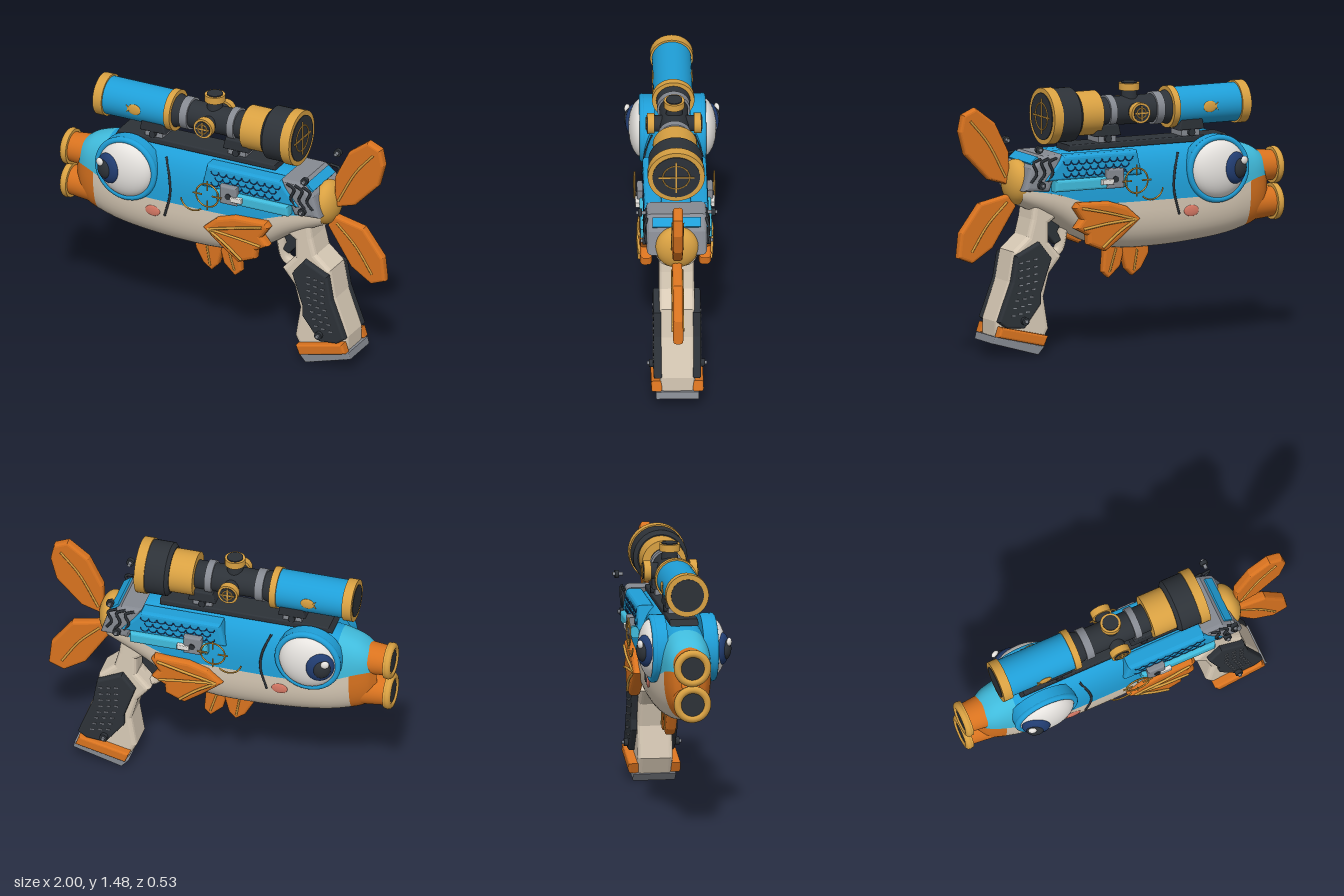
import * as THREE from 'three';

const V = (x, y, z = 0) => new THREE.Vector3(x, y, z);
const material = (name, color, side = THREE.FrontSide) => {
  const m = new THREE.MeshStandardMaterial({ color, side });
  m.name = name;
  return m;
};

// Body stations: x, top, seam, bottom, half width
const STATIONS = [
  [-0.91, 0.99, 0.9, 0.7, 0.05], [-0.87, 1.035, 0.91, 0.665, 0.095], [-0.8, 1.08, 0.9, 0.63, 0.125],
  [-0.65, 1.12, 0.85, 0.59, 0.15], [-0.45, 1.13, 0.83, 0.565, 0.165], [-0.2, 1.135, 0.83, 0.55, 0.168],
  [0.05, 1.135, 0.83, 0.56, 0.165], [0.25, 1.13, 0.84, 0.62, 0.16], [0.45, 1.11, 0.9, 0.75, 0.145],
  [0.64, 1.05, 0.93, 0.84, 0.11],
];

// Smooth interpolation of column c at x
function station(x, c) {
  const S = STATIONS;
  let i = 0;
  while (i < S.length - 2 && x > S[i + 1][0]) i++;
  const slope = (k) => {
    const a = S[Math.max(k - 1, 0)], b = S[Math.min(k + 1, S.length - 1)];
    return (b[c] - a[c]) / (b[0] - a[0]);
  };
  const h = S[i + 1][0] - S[i][0], t = (x - S[i][0]) / h, t2 = t * t, t3 = t2 * t;
  return (2 * t3 - 3 * t2 + 1) * S[i][c] + (t3 - 2 * t2 + t) * h * slope(i)
    + (3 * t2 - 2 * t3) * S[i + 1][c] + (t3 - t2) * h * slope(i + 1);
}

const POWER = 2.5;
// Half width of the body at x, y
function skinZ(x, y) {
  const seam = station(x, 2), end = station(x, y > seam ? 1 : 3);
  const t = Math.min(Math.abs((y - seam) / (end - seam)), 1);
  return station(x, 4) * (1 - t ** POWER) ** (1 / POWER);
}

// Upper (sign 1) or lower (sign -1) half shell between two x positions
function shell(x0, x1, sign) {
  const n = 24, m = 24, pos = [], idx = [];
  for (let i = 0; i <= n; i++) {
    const x = x0 + (x1 - x0) * i / n, seam = station(x, 2), h = Math.abs(station(x, sign > 0 ? 1 : 3) - seam);
    for (let j = 0; j <= m; j++) {
      const a = Math.PI * j / m, c = Math.cos(a), s = Math.max(Math.sin(a), 0);
      pos.push(x, seam + sign * h * s ** (2 / POWER), sign * station(x, 4) * Math.sign(c) * Math.abs(c) ** (2 / POWER));
      if (i < n && j < m) {
        const p = i * (m + 1) + j, q = p + m + 1;
        idx.push(p, q, p + 1, p + 1, q, q + 1);
      }
    }
  }
  const g = new THREE.BufferGeometry();
  g.setAttribute('position', new THREE.Float32BufferAttribute(pos, 3));
  g.setIndex(idx);
  g.computeVertexNormals();
  return g;
}

// Bevelled plate in the xy plane between z0 and z1
function plate(points, z0, z1, b = 0.01) {
  const shape = new THREE.Shape(points.map(([x, y]) => new THREE.Vector2(x, y)));
  return new THREE.ExtrudeGeometry(shape, {
    depth: z1 - z0 - 2 * b, bevelEnabled: true, bevelThickness: b, bevelSize: b, bevelOffset: -b, bevelSegments: 3,
  }).translate(0, 0, z0 + b);
}
const box = (x0, x1, y0, y1, z0, z1) =>
  new THREE.BoxGeometry(x1 - x0, y1 - y0, z1 - z0).translate((x0 + x1) / 2, (y0 + y1) / 2, (z0 + z1) / 2);
const cylX = (x0, x1, y, r0, r1 = r0) =>
  new THREE.CylinderGeometry(r1, r0, x1 - x0, 40).rotateZ(-Math.PI / 2).translate((x0 + x1) / 2, y, 0);
const cylZ = (x, y, z0, z1, r) =>
  new THREE.CylinderGeometry(r, r, z1 - z0, 28).rotateX(Math.PI / 2).translate(x, y, (z0 + z1) / 2);
const tube = (pts, r, closed = false) =>
  new THREE.TubeGeometry(new THREE.CatmullRomCurve3(pts.map((p) => V(...p)), closed), 24, r, 6, closed);
const ellipsoid = (x, y, z, rx, ry, rz, turn = 0) =>
  new THREE.SphereGeometry(1, 32, 24).scale(rx, ry, rz).rotateY(turn).translate(x, y, z);

function mirrorZ(geo) {
  const g = geo.clone().applyMatrix4(new THREE.Matrix4().makeScale(1, 1, -1));
  const idx = g.index ? Array.from(g.index.array) : Array.from({ length: g.attributes.position.count }, (_, i) => i);
  for (let i = 0; i < idx.length; i += 3) [idx[i], idx[i + 1]] = [idx[i + 1], idx[i]];
  g.setIndex(idx);
  return g;
}

export function createModel() {
  const group = new THREE.Group();
  group.name = 'fishBlaster';
  const blue = material('blue', 0x1f9fd8), cyan = material('lightBlue', 0x40bbdc);
  const cream = material('cream', 0xd8cab6, THREE.DoubleSide), orange = material('orange', 0xd9731f);
  const gold = material('gold', 0xd9a142), dark = material('charcoal', 0x2d3238);
  const grey = material('grey', 0x868a92), navy = material('navy', 0x213c70);
  const white = material('white', 0xe6e3df), pink = material('pink', 0xd97a66);
  const add = (name, geo, mat) => {
    const mesh = new THREE.Mesh(geo, mat);
    mesh.name = name;
    group.add(mesh);
  };
  const pair = (name, geo, mat) => {
    add(name + 'Left', geo, mat);
    add(name + 'Right', mirrorZ(geo), mat);
  };

  // Body
  add('head', shell(-0.91, -0.7, 1), cyan);
  add('back', shell(-0.7, 0.64, 1), blue);
  add('lips', shell(-0.91, -0.77, -1), orange);
  add('belly', shell(-0.77, 0.64, -1), cream);

  // Twin muzzles
  for (const y of [0.95, 0.745]) {
    add('muzzle', cylX(-0.98, -0.8, y, 0.082, 0.1), orange);
    add('muzzleRim', new THREE.TorusGeometry(0.083, 0.022, 12, 40).rotateY(Math.PI / 2).translate(-0.978, y, 0), gold);
    add('muzzleBand', cylX(-0.978, -0.957, y, 0.102), gold);
    add('muzzleBore', cylX(-0.99, -0.97, y, 0.068), dark);
  }

  // Eyes
  pair('eyeRing', cylZ(-0.545, 0.98, 0.1, 0.165, 0.19), blue);
  pair('eyeRingEdge', new THREE.TorusGeometry(0.174, 0.018, 12, 48).translate(-0.545, 0.98, 0.168), blue);
  pair('eyeball', ellipsoid(-0.545, 0.98, 0.165, 0.166, 0.166, 0.08), white);
  pair('iris', ellipsoid(-0.63, 0.985, 0.215, 0.08, 0.09, 0.038, -0.35), navy);
  pair('pupil', ellipsoid(-0.645, 0.985, 0.234, 0.05, 0.057, 0.03, -0.35), dark);
  pair('eyeGlint', ellipsoid(-0.668, 1.03, 0.25, 0.024, 0.024, 0.014, -0.35), white);

  // Cheek patch and gill line
  pair('cheek', ellipsoid(-0.38, 0.755, skinZ(-0.38, 0.755), 0.046, 0.032, 0.008), pink);
  pair('gill', tube([[-0.32, 1.08], [-0.28, 0.98], [-0.27, 0.88], [-0.305, 0.74]]
    .map(([x, y]) => [x, y, skinZ(x, y) + 0.002]), 0.007), dark);

  // Scaled side cover, slider and bolt
  pair('sideCover', plate([[-0.07, 0.98], [-0.04, 1.12], [0.42, 1.12], [0.54, 0.98]], 0.08, 0.178, 0.02), blue);
  for (let row = 0; row < 3; row++) {
    for (let i = 0; i < 9 - row % 2; i++) {
      const arc = new THREE.TorusGeometry(0.024, 0.003, 4, 10, Math.PI).rotateZ(Math.PI);
      pair('scale', arc.translate(0.015 + i * 0.048 + (row % 2) * 0.024, 1.09 - row * 0.034, 0.178), navy);
    }
  }
  pair('slider', plate([[0.03, 0.92], [0.03, 0.985], [0.48, 0.985], [0.48, 0.92]], 0.13, 0.2, 0.014), cyan);
  pair('bolt', plate([[0.06, 0.92], [0.06, 1.03], [0.165, 1.03], [0.165, 0.92]], 0.15, 0.212), grey);
  pair('boltPin', cylZ(0.115, 0.972, 0.2, 0.218, 0.018), dark);
  pair('boltTab', plate([[0.13, 0.945], [0.13, 0.975], [0.2, 0.975], [0.2, 0.945]], 0.19, 0.222, 0.004), white);

  // Brass sight ornament beside the bolt
  pair('ornamentRing', new THREE.TorusGeometry(0.07, 0.005, 6, 32).translate(-0.01, 0.957, 0.222), gold);
  pair('ornamentArc', new THREE.TorusGeometry(0.075, 0.005, 6, 20, 2.2).rotateZ(3.3).translate(-0.1, 0.92, 0.222), gold);
  for (let i = 0; i < 4; i++) {
    const a = i * Math.PI / 2, c = Math.cos(a), s = Math.sin(a);
    pair('ornamentTick', tube([[-0.01 + 0.03 * c, 0.957 + 0.03 * s, 0.222], [-0.01 + 0.09 * c, 0.957 + 0.09 * s, 0.222]], 0.005), gold);
  }

  // Rear housing and tail joint
  add('rearHousing', plate([[0.42, 1.125], [0.54, 1.125], [0.62, 1.06], [0.66, 0.93], [0.5, 0.92]], -0.168, 0.168, 0.025), grey);
  add('rearStripe', box(-0.028, 0.028, -0.012, 0.012, -0.135, 0.135).rotateZ(-0.68).translate(0.58, 1.093, 0), blue);
  for (let i = 0; i < 3; i++) {
    const x = 0.46 + i * 0.05;
    pair('housingCoil', tube([[x, 1.11, 0.166], [x + 0.05, 1.09, 0.178], [x + 0.03, 1.03, 0.178], [x + 0.06, 0.98, 0.168]], 0.008), dark);
  }
  add('tailJoint', ellipsoid(0.63, 0.965, 0, 0.075, 0.128, 0.122), gold);
  for (const [x, y, z] of [[0.56, 0.962, 0.19], [0.59, 1.17, 0.215], [0.645, 0.2, 0.155]]) {
    pair('screwHead', cylZ(x, y, z - 0.022, z, 0.022), dark);
    pair('screwShank', cylZ(x, y, z - 0.045, z + 0.012, 0.01), grey);
  }

  // Tail fins
  add('upperTailFin', plate([[0.68, 0.95], [0.685, 1.14], [0.77, 1.31], [0.89, 1.4], [0.97, 1.365], [0.99, 1.27], [0.955, 1.14], [0.81, 0.99]], -0.028, 0.028, 0.016), orange);
  add('lowerTailFin', plate([[0.64, 0.83], [0.68, 0.9], [0.865, 0.86], [0.985, 0.7], [1.0, 0.56], [0.91, 0.525], [0.785, 0.605]], -0.028, 0.028, 0.016), orange);
  pair('upperTailRib', tube([[0.71, 1.0, 0.028], [0.82, 1.2, 0.028], [0.93, 1.33, 0.028]], 0.007), gold);
  pair('lowerTailRib', tube([[0.7, 0.86, 0.028], [0.82, 0.74, 0.028], [0.92, 0.59, 0.028]], 0.007), gold);

  // Side and belly fins
  pair('sideFin', plate([[-0.055, 0.735], [0.03, 0.81], [0.14, 0.845], [0.34, 0.85], [0.36, 0.82], [0.315, 0.755], [0.355, 0.705],
    [0.28, 0.665], [0.275, 0.61], [0.165, 0.565], [0.06, 0.64]], 0.13, 0.198, 0.022), orange);
  for (const [x, y] of [[0.32, 0.82], [0.31, 0.7], [0.19, 0.59]]) {
    pair('sideFinRib', tube([[-0.02, 0.735, 0.195], [x * 0.5, (y + 0.75) / 2, 0.207], [x, y, 0.2]], 0.008), gold);
  }
  add('frontBellyFin', plate([[-0.19, 0.6], [-0.185, 0.51], [-0.14, 0.43], [-0.085, 0.39], [-0.045, 0.43], [0.0, 0.6]], -0.03, 0.03, 0.015), orange);
  add('rearBellyFin', plate([[-0.05, 0.6], [-0.01, 0.45], [0.06, 0.385], [0.1, 0.42], [0.085, 0.6]], -0.026, 0.026, 0.013), orange);
  pair('frontBellyRib', tube([[-0.11, 0.54, 0.03], [-0.09, 0.42, 0.03]], 0.006), gold);
  pair('rearBellyRib', tube([[0.02, 0.55, 0.026], [0.06, 0.42, 0.026]], 0.006), gold);

  // Grip
  add('grip', plate([[0.32, 0.83], [0.56, 0.87], [0.575, 0.76], [0.6, 0.665], [0.69, 0.585], [0.72, 0.42], [0.8, 0.2], [0.8, 0.115],
    [0.52, 0.045], [0.47, 0.14], [0.5, 0.32], [0.465, 0.45], [0.39, 0.54], [0.47, 0.63], [0.47, 0.73]], -0.098, 0.098, 0.025), cream);
  pair('gripPanel', plate([[0.545, 0.635], [0.69, 0.565], [0.715, 0.42], [0.8, 0.2], [0.75, 0.165], [0.64, 0.155], [0.535, 0.29],
    [0.535, 0.35], [0.47, 0.54]], 0.085, 0.132, 0.012), dark);
  for (let row = 0; row < 8; row++) {
    for (let i = 0; i < 3; i++) {
      const x = 0.565 + i * 0.045 + Math.max(0, row - 3) * 0.012, y = 0.54 - row * 0.042 - i * 0.008;
      pair('gripStud', box(x, x + 0.022, y, y + 0.006, 0.128, 0.136), grey);
    }
  }
  pair('heelPad', plate([[0.5, 0.107], [0.79, 0.175], [0.81, 0.118], [0.524, 0.05]], 0.085, 0.146, 0.012), orange);
  add('basePlate', plate([[0.51, 0.045], [0.82, 0.12], [0.83, 0.08], [0.55, 0.0]], -0.12, 0.12, 0.006), grey);

  // Trigger and guard
  add('triggerGuard', tube([[0.33, 0.79, 0], [0.34, 0.68, 0], [0.37, 0.565, 0], [0.42, 0.545, 0], [0.48, 0.62, 0]], 0.023).scale(1, 1, 2), cream);
  add('trigger', plate([[0.46, 0.75], [0.46, 0.67], [0.4, 0.6], [0.36, 0.62], [0.385, 0.67], [0.35, 0.74]], -0.03, 0.03, 0.01), dark);

  // Scope rail and mounts
  add('rail', plate([[-0.66, 1.125], [-0.64, 1.16], [0.34, 1.16], [0.34, 1.125]], -0.08, 0.08, 0.008), dark);
  for (const x of [-0.425, 0.095]) {
    add('mountPost', box(x - 0.055, x + 0.055, 1.15, 1.21, -0.065, 0.065), grey);
    add('mountClamp', plate([[x - 0.08, 1.195], [x - 0.065, 1.26], [x + 0.065, 1.26], [x + 0.08, 1.195]], -0.085, 0.085, 0.008), dark);
    pair('mountBolt', cylZ(x, 1.18, 0.06, 0.085, 0.02), dark);
  }

  // Scope tube: name, x range, radii, colour
  const Y = 1.322;
  for (const [name, x0, x1, r0, r1, mat] of [
    ['scopeFrontRing', -0.78, -0.725, 0.12, 0.12, gold], ['scopeFrontGlass', -0.783, -0.77, 0.092, 0.092, dark],
    ['scopeFrontTube', -0.725, -0.33, 0.109, 0.109, blue], ['scopeMiddleRing', -0.34, -0.302, 0.118, 0.118, gold],
    ['scopeTaper', -0.302, -0.25, 0.095, 0.08, dark], ['scopeTube', -0.25, 0.15, 0.08, 0.08, dark],
    ['scopeCollar', -0.257, -0.21, 0.092, 0.092, grey], ['scopeCollar', 0.04, 0.08, 0.092, 0.092, grey],
    ['scopeRearTube', 0.14, 0.285, 0.124, 0.124, gold], ['scopeFocusTaper', 0.275, 0.295, 0.13, 0.152, dark],
    ['scopeFocusRing', 0.295, 0.415, 0.152, 0.152, dark], ['scopeRearRing', 0.41, 0.467, 0.159, 0.159, gold],
    ['scopeRearGlass', 0.46, 0.471, 0.132, 0.132, dark],
  ]) add(name, cylX(x0, x1, Y, r0, r1), mat);
  add('reticleRing', new THREE.TorusGeometry(0.075, 0.004, 6, 36).rotateY(Math.PI / 2).translate(0.472, Y, 0), gold);
  add('reticleUpright', box(0.47, 0.476, Y - 0.1, Y + 0.1, -0.004, 0.004), gold);
  add('reticleCrossbar', box(0.47, 0.476, Y - 0.004, Y + 0.004, -0.1, 0.1), gold);
  pair('scopeOval', ellipsoid(-0.525, Y, 0.107, 0.04, 0.032, 0.008), gold);
  pair('scopeOvalTail', plate([[-0.565, Y], [-0.575, Y + 0.022], [-0.545, Y], [-0.575, Y - 0.022]], 0.106, 0.113, 0.001), gold);

  // Scope adjustment knobs
  add('topKnobBase', new THREE.CylinderGeometry(0.042, 0.048, 0.07, 28).translate(-0.075, 1.41, 0), dark);
  add('topKnob', new THREE.CylinderGeometry(0.058, 0.058, 0.04, 28).translate(-0.075, 1.455, 0), gold);
  add('topKnobCap', new THREE.CylinderGeometry(0.045, 0.045, 0.01, 28).translate(-0.075, 1.476, 0), dark);
  pair('sideKnobBase', cylZ(-0.075, Y, 0.06, 0.115, 0.045), dark);
  pair('sideKnob', cylZ(-0.075, Y, 0.11, 0.15, 0.058), gold);
  pair('sideKnobCap', cylZ(-0.075, Y, 0.14, 0.154, 0.046), dark);
  pair('sideKnobRing', new THREE.TorusGeometry(0.028, 0.004, 6, 24).translate(-0.075, Y, 0.155), gold);
  pair('sideKnobBar', box(-0.115, -0.035, Y - 0.004, Y + 0.004, 0.152, 0.158), gold);
  pair('sideKnobPost', box(-0.079, -0.071, Y - 0.04, Y + 0.04, 0.152, 0.158), gold);
  return group;
}
